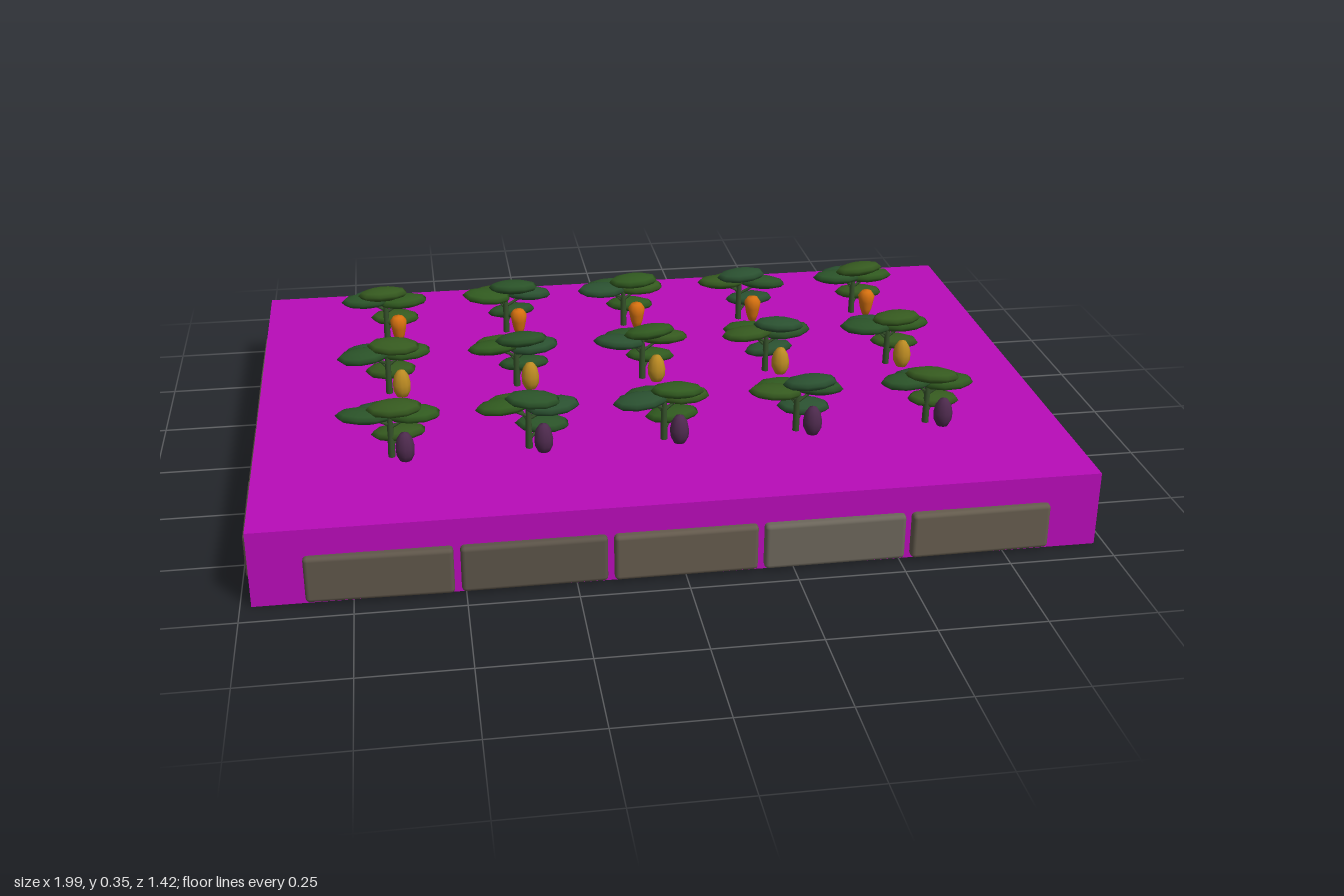
import * as THREE from 'three';
import { RoundedBoxGeometry } from 'three/addons/geometries/RoundedBoxGeometry.js';

const mat = (color) => new THREE.MeshStandardMaterial({ color });
const SOIL_TOP = 0.185;

// Small seeded generator returning values in -1..1
function makeRandom(seed) {
  return () => {
    seed = (seed * 16807) % 2147483647;
    return (seed / 2147483647) * 2 - 1;
  };
}

function add(parent, name, geometry, material, x, y, z) {
  const mesh = new THREE.Mesh(geometry, material);
  mesh.name = name;
  mesh.position.set(x, y, z);
  parent.add(mesh);
  return mesh;
}

// Leaf offsets from the plant's foot: x, height, z
const LEAVES = [
  [0.01, 0.335, 0.052],
  [-0.055, 0.297, 0.01],
  [0.052, 0.29, -0.012],
  [-0.03, 0.283, -0.05],
  [0.02, 0.235, -0.03],
];

export function createModel() {
  const model = new THREE.Group();
  model.name = 'vegetableBed';
  const random = makeRandom(4711);

  // Soil block
  add(model, 'soil', new THREE.BoxGeometry(1.95, SOIL_TOP, 1.375), mat(0xb80cb8), 0, SOIL_TOP / 2, 0);

  // Bevelled border stones, half sunk into the four sides
  const stoneMats = [0x5f564a, 0x5b5348, 0x645a4d, 0x6c665b, 0x655c4e].map(mat);
  const border = new THREE.Group();
  border.name = 'stoneBorder';
  model.add(border);
  const frontStone = new RoundedBoxGeometry(0.33, 0.113, 0.06, 2, 0.01);
  const sideStone = new RoundedBoxGeometry(0.286, 0.113, 0.06, 2, 0.01);
  for (const side of [1, -1]) {
    for (let i = 0; i < 5; i++) {
      const stone = add(border, 'longSideStone', frontStone, stoneMats[i], (i - 2) * 0.345, 0.063, side * 0.676);
      stone.rotation.y = random() * 0.02;
    }
    for (let i = 0; i < 4; i++) {
      const stone = add(border, 'shortSideStone', sideStone, stoneMats[i], side * 0.963, 0.063, (1.5 - i) * 0.29);
      stone.rotation.y = Math.PI / 2 + random() * 0.008;
    }
  }

  // Shared plant parts
  const leafGeometry = new THREE.SphereGeometry(1, 9, 6);
  const leafMats = [0x35591f, 0x2a5228, 0x30591f, 0x2a5030].map(mat);
  const stemGeometry = new THREE.CylinderGeometry(0.006, 0.009, 0.14, 7);
  const stemMat = mat(0x35512a);
  const twigGeometry = new THREE.CylinderGeometry(0.004, 0.004, 1, 5);
  const lathe = (points) => new THREE.LatheGeometry(points.map(([r, y]) => new THREE.Vector2(r, y)), 10);
  const plump = [[0, -0.038], [0.014, -0.034], [0.022, -0.018], [0.023, 0], [0.019, 0.02], [0.01, 0.034], [0, 0.038]];
  const tapered = [[0, -0.038], [0.01, -0.033], [0.016, -0.016], [0.02, 0.004], [0.023, 0.022], [0.014, 0.035], [0, 0.038]];
  const rows = [
    { z: 0.36, name: 'purpleFruit', geometry: lathe(plump), material: mat(0x4d2a4d) },
    { z: 0, name: 'yellowFruit', geometry: lathe(plump), material: mat(0xbb8a22) },
    { z: -0.36, name: 'orangeFruit', geometry: lathe(tapered), material: mat(0xd5700f) },
  ];

  // Thin branch between two points
  function addTwig(plant, from, to) {
    const dir = to.clone().sub(from);
    const mid = from.clone().add(to).multiplyScalar(0.5);
    const twig = add(plant, 'twig', twigGeometry, stemMat, mid.x, mid.y, mid.z);
    twig.scale.y = dir.length();
    twig.quaternion.setFromUnitVectors(new THREE.Vector3(0, 1, 0), dir.normalize());
  }

  // Three rows of five plants
  for (const row of rows) {
    for (let c = 0; c < 5; c++) {
      const plant = new THREE.Group();
      plant.name = 'plant';
      plant.position.set((c - 2) * 0.325, 0, row.z);
      model.add(plant);
      add(plant, 'stem', stemGeometry, stemMat, 0, SOIL_TOP + 0.065, 0);
      add(plant, row.name, row.geometry, row.material, 0.032, 0.225, 0.034);

      // Spread of flat leaves, turned slightly from plant to plant
      const turn = random() * 0.22;
      LEAVES.forEach(([x, y, z], i) => {
        const p = new THREE.Vector3(x, y, z).applyAxisAngle(new THREE.Vector3(0, 1, 0), turn);
        p.x += random() * 0.01;
        const leaf = add(plant, 'leaf', leafGeometry, leafMats[(i + c) % 4], p.x, p.y, p.z);
        leaf.scale.set(0.066, 0.018, 0.037);
        leaf.rotation.set(random() * 0.12, random() * 0.15, random() * 0.1);
        addTwig(plant, new THREE.Vector3(0, p.y - 0.03, 0), p);
      });
    }
  }
  return model;
}
